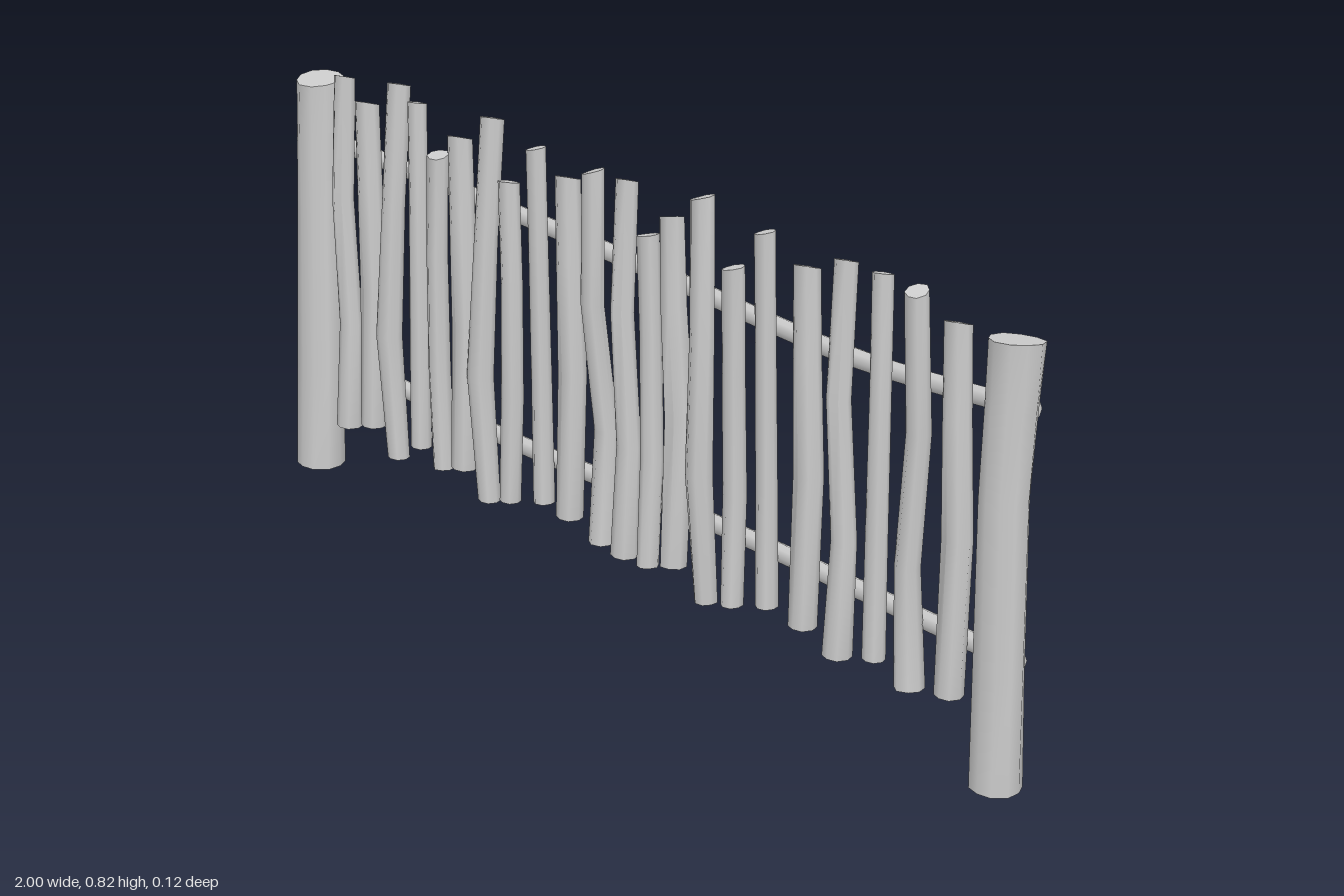
import * as THREE from 'three';
import { toCreasedNormals } from 'three/addons/utils/BufferGeometryUtils.js';

const material = new THREE.MeshStandardMaterial({ color: 0xcccccc });

// A crooked upright log: rows are [height, x offset, z offset, radius]; slope tilts the top cut
function logGeometry(rows, sides, slope, tops = 1) {
  const geo = new THREE.CylinderGeometry(1, 1, 1, sides, rows.length - 1);
  const p = geo.attributes.position;
  const n = rows.length - 1;
  for (let i = 0; i < p.count; i++) {
    const k = Math.round((p.getY(i) + 0.5) * n);
    const [y, dx, dz, r] = rows[k];
    const x = p.getX(i), z = p.getZ(i);
    // slightly uneven girth so the wood looks hand cut
    const g = r * (1 + 0.05 * Math.sin(3 * Math.atan2(z, x) + k));
    const tilt = k === n ? slope * (0.4 * x + z) * tops : 0;
    p.setXYZ(i, dx + x * g, y + tilt, dz + z * g);
  }
  return toCreasedNormals(geo, 1.0);
}

// Five stick shapes that repeat along the fence
const stickShapes = {
  A: logGeometry([[0.1, 0.005, 0.003, 0.026], [0.31, 0.016, 0.002, 0.022],
    [0.55, -0.01, -0.003, 0.021], [0.79, -0.004, -0.008, 0.02]], 8, 0.006),
  B: logGeometry([[0.125, 0.002, 0.005, 0.025], [0.4, 0.01, 0.003, 0.026],
    [0.6, -0.002, 0, 0.024], [0.76, -0.005, 0.002, 0.023]], 8, 0.007),
  C: logGeometry([[0.08, 0.004, 0, 0.021], [0.32, -0.013, 0.004, 0.025],
    [0.58, -0.003, -0.004, 0.022], [0.81, 0.003, -0.016, 0.022]], 8, 0.006),
  D: logGeometry([[0.125, 0.003, 0.003, 0.02], [0.35, 0.002, 0.001, 0.019],
    [0.6, 0, -0.002, 0.018], [0.793, -0.003, -0.004, 0.018]], 8, 0.004),
  E: logGeometry([[0.1, -0.001, 0.002, 0.02], [0.3, 0.006, 0, 0.021],
    [0.52, 0.004, -0.002, 0.02], [0.71, -0.001, 0, 0.02]], 8, 0.004),
};

// [shape, x position, turn about the vertical in degrees]
const sticks = [
  ['A', -0.87, 0], ['B', -0.783, 0], ['C', -0.712, 0], ['D', -0.632, 0],
  ['E', -0.567, 180], ['B', -0.49, 0], ['C', -0.423, 0], ['E', -0.35, 0],
  ['D', -0.26, 90], ['B', -0.17, 0], ['A', -0.09, 90], ['A', -0.016, 0],
  ['E', 0.05, 60], ['B', 0.122, 30], ['C', 0.205, 80], ['E', 0.28, 90],
  ['D', 0.367, 90], ['B', 0.473, 0], ['A', 0.557, 0], ['D', 0.65, 0],
  ['A', 0.738, 180], ['B', 0.837, 0],
];

function mesh(name, geometry) {
  const m = new THREE.Mesh(geometry, material);
  m.name = name;
  return m;
}

// Horizontal pole following a gently wavering curve, closed at both ends
function rail(name, points, radius) {
  const curve = new THREE.CatmullRomCurve3(points.map((p) => new THREE.Vector3(...p)));
  const group = new THREE.Group();
  group.name = name;
  group.add(mesh('pole', new THREE.TubeGeometry(curve, 24, radius, 8)));
  for (const t of [0, 1]) {
    const cap = mesh('poleEnd', new THREE.CircleGeometry(radius, 8));
    cap.position.copy(curve.getPoint(t));
    cap.rotation.y = t ? Math.PI / 2 : -Math.PI / 2;
    group.add(cap);
  }
  return group;
}

export function createModel() {
  const fence = new THREE.Group();
  fence.name = 'fence';

  // End posts, flared towards the ground
  const leftPost = mesh('leftPost', logGeometry([[0, 0, 0, 0.044], [0.2, 0, 0, 0.042],
    [0.5, -0.002, -0.001, 0.041], [0.65, 0.001, -0.006, 0.043],
    [0.762, 0.004, -0.009, 0.046]], 10, 0.006));
  leftPost.position.x = 0.949;
  const rightPost = mesh('rightPost', logGeometry([[0, 0, 0.012, 0.047], [0.2, 0, 0.006, 0.045],
    [0.5, 0, 0, 0.042], [0.65, 0, -0.003, 0.043], [0.77, 0, -0.006, 0.045]], 10, -0.005));
  rightPost.position.x = -0.955;
  fence.add(leftPost, rightPost);

  // Sticks
  for (const [shape, x, turn] of sticks) {
    const stick = mesh('stick', stickShapes[shape]);
    stick.position.x = x;
    stick.rotation.y = THREE.MathUtils.degToRad(turn);
    fence.add(stick);
  }

  // Rails along the back
  fence.add(
    rail('upperRail', [[-0.95, 0.638, -0.042], [-0.5, 0.636, -0.042], [0, 0.625, -0.046],
      [0.55, 0.612, -0.042], [0.96, 0.638, -0.046]], 0.017),
    rail('lowerRail', [[-0.95, 0.206, -0.036], [-0.4, 0.194, -0.038], [0.2, 0.212, -0.038],
      [0.6, 0.212, -0.036], [0.96, 0.212, -0.032]], 0.017),
  );
  return fence;
}
